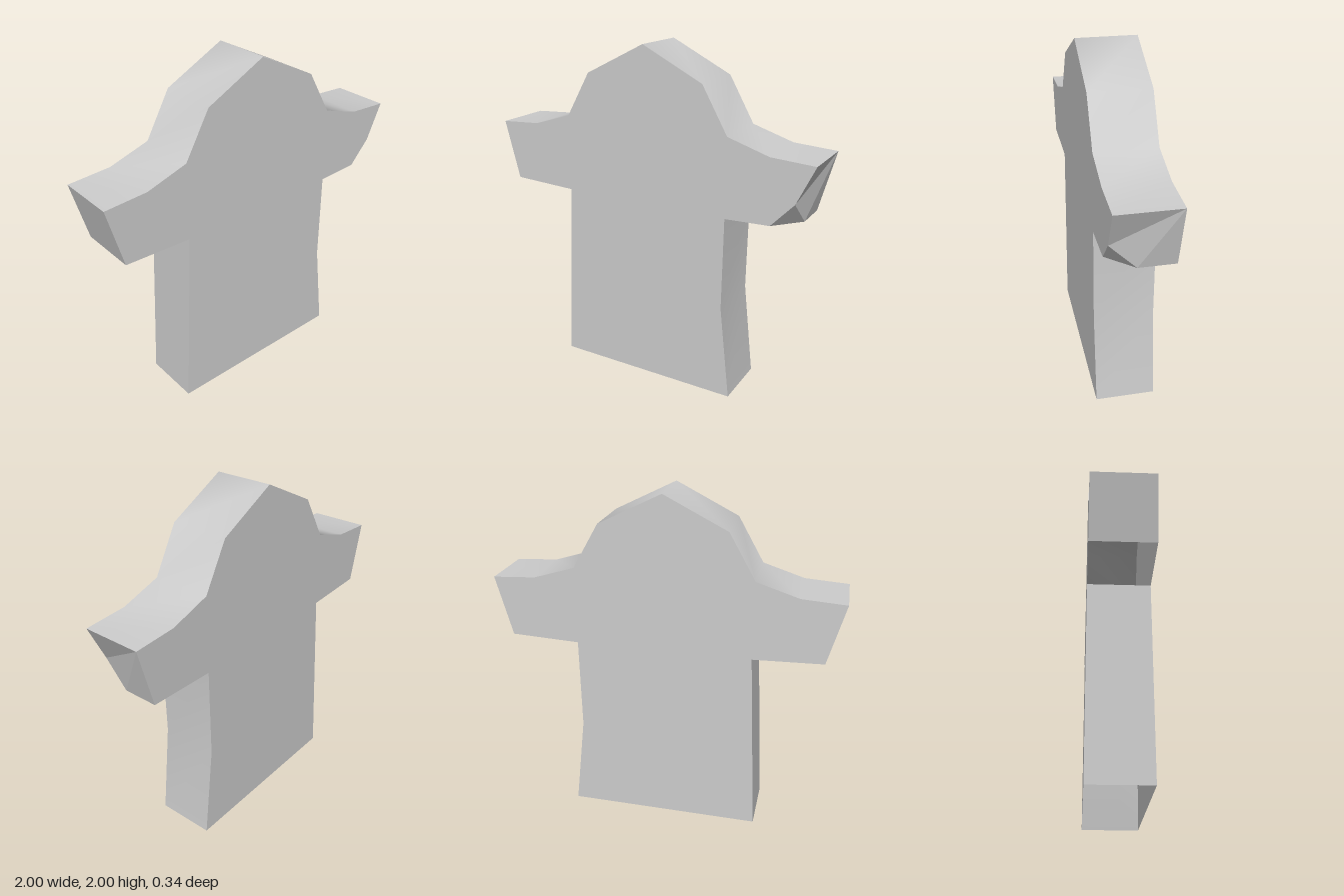
import * as THREE from 'three';
import { toCreasedNormals } from 'three/addons/utils/BufferGeometryUtils.js';

const D = 0.172; // half thickness

// Outline from one sleeve tip over the top to the other, left (+x) to right (-x)
const half = [[1, 1.47], [0.75, 1.485], [0.51, 1.56], [0.36, 1.82]];
const mirror = (pts) => pts.map(([x, y]) => [-x, y]).reverse();
const top = [...half, [0, 2], ...mirror(half)];
const leftSide = [[0.57, 0], [0.505, 0.56], [0.51, 1.105]];
const rightSide = [[-0.51, 1.105], [-0.57, 0]];
const rightCuff = [[-1, 1.47], [-0.91, 1.12]];

export function createModel() {
  const group = new THREE.Group();
  const grey = new THREE.MeshStandardMaterial({ color: 0xcccccc, side: THREE.DoubleSide });
  grey.name = 'plain grey';

  const add = (name, geometry) => {
    const mesh = new THREE.Mesh(geometry, grey);
    mesh.name = name;
    group.add(mesh);
  };

  // Flat panel from an outline
  const panel = (pts) => new THREE.ShapeGeometry(new THREE.Shape(pts.map((p) => new THREE.Vector2(...p))));

  // Triangles from a list of corners, with soft bends
  const facets = (corners, crease) => {
    const geometry = new THREE.BufferGeometry();
    geometry.setAttribute('position', new THREE.Float32BufferAttribute(corners.flat(), 3));
    geometry.computeVertexNormals();
    return crease ? toCreasedNormals(geometry, crease) : geometry;
  };

  // Wall running from front to back along a counter-clockwise path
  const wall = (path) => {
    const corners = [];
    for (let i = 0; i < path.length - 1; i++) {
      const a = path[i], b = path[i + 1];
      corners.push([...a, D], [...a, -D], [...b, -D], [...a, D], [...b, -D], [...b, D]);
    }
    return facets(corners, 1);
  };

  // Front panel has a clipped lower corner on the left sleeve
  const clip = [[0.77, 1.115], [0.9, 1.255]];
  const rest = [...top, rightCuff[1], ...rightSide];
  add('frontPanel', panel([...leftSide, ...clip, ...rest]).translate(0, 0, D));

  const backOutline = [...leftSide, [0.91, 1.12], ...rest];
  add('backPanel', panel(mirror(backOutline)).rotateY(Math.PI).translate(0, 0, -D));

  // Walls; the hem and the undersides of the sleeves stay open
  add('topWall', wall(top));
  add('leftBodyWall', wall(leftSide));
  add('rightBodyWall', wall(rightSide));
  add('rightSleeveEnd', wall(rightCuff));

  // Faceted left sleeve end
  const tipFront = [1, 1.47, D], tipBack = [1, 1.47, -D];
  const a = [...clip[1], D], b = [...clip[0], D];
  const c = [0.91, 1.12, 0.03], d = [0.91, 1.12, -D];
  add('leftSleeveEnd', facets([
    tipFront, a, tipBack,
    a, c, tipBack,
    c, d, tipBack,
    a, b, c,
  ]));
  return group;
}
